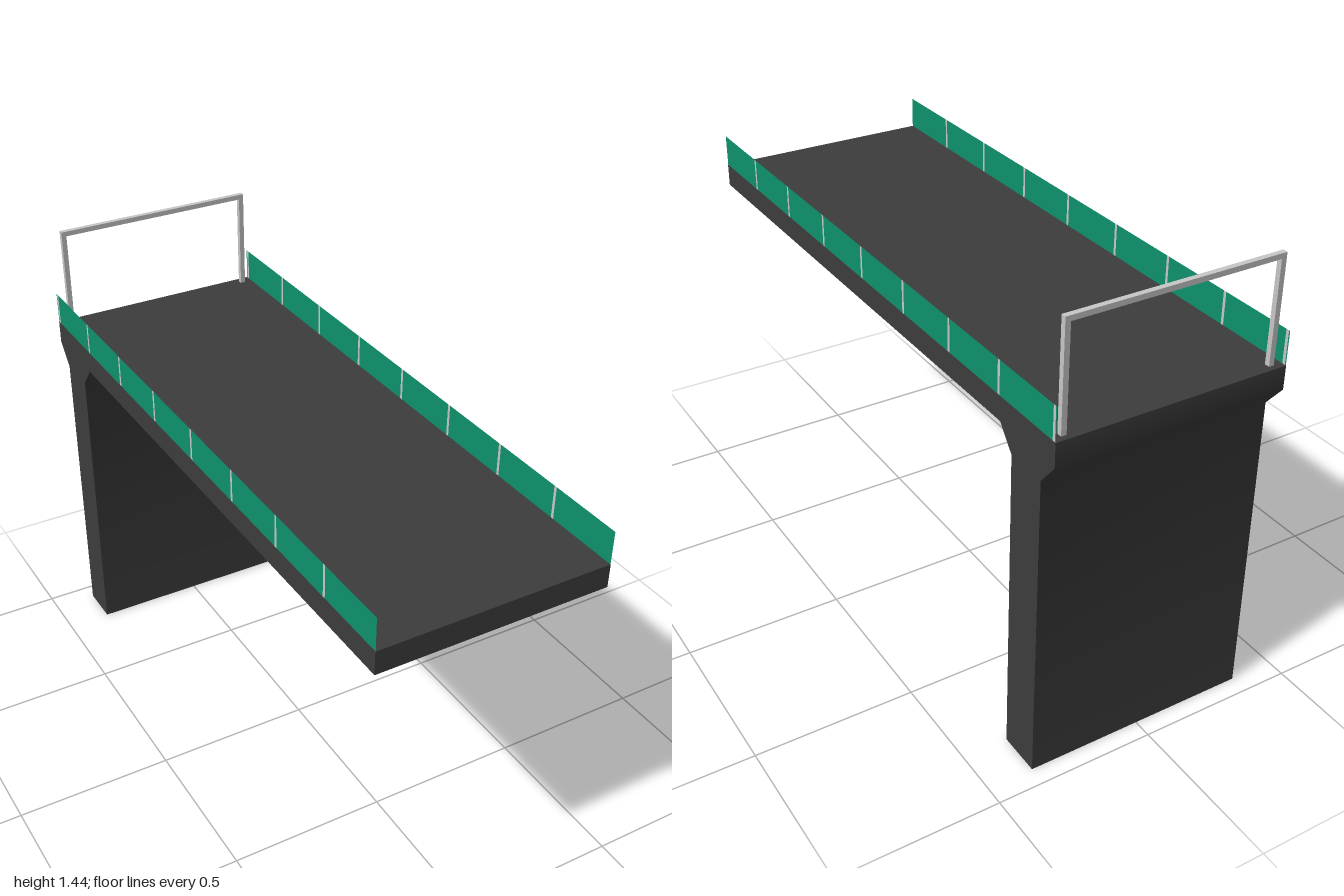
import * as THREE from 'three';
import { toCreasedNormals } from 'three/addons/utils/BufferGeometryUtils.js';

const HALF_WIDTH = 0.358, DECK_TOP = 1.118, RAIL_TOP = 1.22;

// Removes the triangles lying on the ground, leaving the pier open underneath
function openBottom(geometry) {
  const p = geometry.attributes.position, kept = [];
  for (let i = 0; i < p.count; i += 3) {
    if (Math.max(p.getY(i), p.getY(i + 1), p.getY(i + 2)) < 0.001) continue;
    for (let j = i; j < i + 3; j++) kept.push(p.getX(j), p.getY(j), p.getZ(j));
  }
  const open = new THREE.BufferGeometry();
  open.setAttribute('position', new THREE.Float32BufferAttribute(kept, 3));
  return open;
}

export function createModel() {
  const group = new THREE.Group();
  const concrete = new THREE.MeshStandardMaterial({ name: 'darkConcrete', color: 0x3d3d3d, side: THREE.DoubleSide });
  const green = new THREE.MeshStandardMaterial({ name: 'greenPanel', color: 0x0d926c, side: THREE.DoubleSide });
  const metal = new THREE.MeshStandardMaterial({ name: 'lightMetal', color: 0xc8c8c8, side: THREE.DoubleSide });

  function add(name, geometry, material, x, y, z, parent = group) {
    const mesh = new THREE.Mesh(geometry, material);
    mesh.name = name;
    mesh.position.set(x, y, z);
    parent.add(mesh);
    return mesh;
  }

  // Deck, flared pier head and pier as one side profile (z, y)
  const profile = new THREE.Shape([
    [1, DECK_TOP], [-1, DECK_TOP], [-1, 1.045], [-0.942, 0.975], [-0.942, 0],
    [-0.808, 0], [-0.808, 0.975], [-0.752, 1.045], [1, 1.045],
  ].map(([z, y]) => new THREE.Vector2(z, y)));
  const body = new THREE.ExtrudeGeometry(profile, { depth: 2 * HALF_WIDTH, bevelEnabled: false });
  body.translate(0, 0, -HALF_WIDTH).rotateY(-Math.PI / 2);
  add('deckAndPier', toCreasedNormals(openBottom(body.toNonIndexed ? (body.index ? body.toNonIndexed() : body) : body), Math.PI / 4), concrete, 0, 0, 0);

  // Side railings: thin green panels separated by narrow metal strips
  const railHeight = RAIL_TOP - DECK_TOP, railY = (RAIL_TOP + DECK_TOP) / 2;
  const pitch = 0.2495, strip = 0.01;
  for (const side of [1, -1]) {
    const rail = new THREE.Group();
    rail.name = side > 0 ? 'leftRailing' : 'rightRailing';
    group.add(rail);
    const plate = (name, material, z0, z1) => {
      const geometry = new THREE.PlaneGeometry(z0 - z1, railHeight).rotateY(side * Math.PI / 2);
      add(name, geometry, material, side * (HALF_WIDTH - 0.001), railY, (z0 + z1) / 2, rail);
    };
    let start = 1;
    for (let i = 1; i <= 8; i++) {
      const z = 1.005 - i * pitch;
      plate('railingPanel', green, start, z + strip / 2);
      plate('railingPost', metal, z + strip / 2, z - strip / 2);
      start = z - strip / 2;
    }
    plate('railingEnd', green, start, -1);
  }

  // Portal frame over the pier end
  const bar = 0.016, frameTop = 1.443, frameZ = -0.975;
  const postHeight = frameTop - bar - DECK_TOP;
  for (const side of [1, -1]) {
    add(side > 0 ? 'leftFramePost' : 'rightFramePost', new THREE.BoxGeometry(bar, postHeight, bar),
      metal, side * 0.323, DECK_TOP + postHeight / 2, frameZ);
  }
  add('frameCrossbar', new THREE.BoxGeometry(0.662, bar, bar), metal, 0, frameTop - bar / 2, frameZ);

  return group;
}
